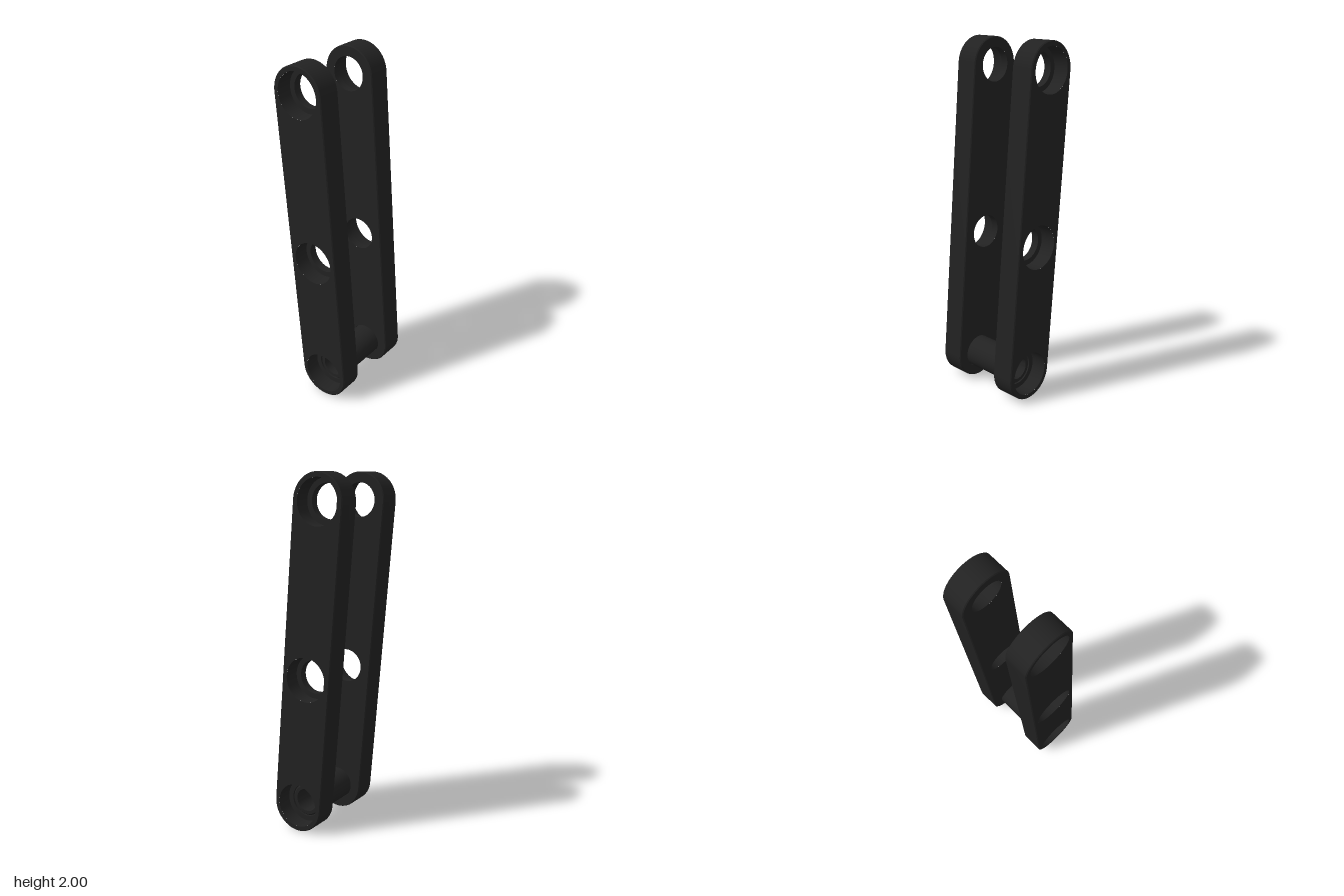
import * as THREE from 'three';
import { toCreasedNormals } from 'three/addons/utils/BufferGeometryUtils.js';

const R = 0.153, LENGTH = 1.7, CHAMFER = 0.005;
const INNER = 0.14, OUTER = 0.278, FLOOR = 0.185; // arm faces and counterbore floor, distance from middle
const HOLES = [0, 0.745, LENGTH];                 // hole centres along the arm
const BORE = 0.095, COUNTERBORE = 0.125;

const material = new THREE.MeshStandardMaterial({ color: 0x222222 });

function part(name, geometry) {
  const mesh = new THREE.Mesh(geometry, material);
  mesh.name = name;
  return mesh;
}

// Round-ended outline, counter-clockwise, along y
function outline(r, n = 32) {
  const pts = [];
  for (const [cy, start] of [[LENGTH, 0], [0, Math.PI]]) {
    for (let i = 0; i <= n; i++) {
      const a = start + (i / n) * Math.PI;
      pts.push(new THREE.Vector2(r * Math.cos(a), cy + r * Math.sin(a)));
    }
  }
  return pts;
}

// Flat side face with its three holes
function face(holeRadius, z, flip) {
  const shape = new THREE.Shape(outline(R - CHAMFER));
  for (const y of HOLES) {
    shape.holes.push(new THREE.Path().absarc(0, y, holeRadius, 0, Math.PI * 2, true));
  }
  const geometry = new THREE.ShapeGeometry(shape, 48);
  if (flip) geometry.rotateY(Math.PI);
  return geometry.translate(0, 0, z);
}

// Rim around the arm, with a small chamfer along both edges
function rim() {
  const rings = [
    [R - CHAMFER, INNER], [R, INNER + CHAMFER],
    [R, OUTER - CHAMFER], [R - CHAMFER, OUTER],
  ].map(([r, z]) => outline(r).map((p) => [p.x, p.y, z]));
  const count = rings[0].length, index = [];
  for (let k = 0; k < rings.length - 1; k++) {
    for (let i = 0; i < count; i++) {
      const j = (i + 1) % count;
      const a = k * count + i, b = k * count + j;
      index.push(a, b, b + count, a, b + count, a + count);
    }
  }
  const geometry = new THREE.BufferGeometry();
  geometry.setAttribute('position', new THREE.Float32BufferAttribute(rings.flat(2), 3));
  geometry.setIndex(index);
  return toCreasedNormals(geometry, 0.5);
}

function lathe(points) {
  const profile = points.map(([r, y]) => new THREE.Vector2(r, y));
  return toCreasedNormals(new THREE.LatheGeometry(profile, 48), 0.5);
}

function createArm(name) {
  const arm = new THREE.Group();
  arm.name = name;
  arm.add(part('armRim', rim()));
  arm.add(part('armOuterFace', face(COUNTERBORE, OUTER, false)));
  arm.add(part('armInnerFace', face(BORE, INNER, true)));
  // Stepped bore: wide outside, narrow inside
  const bore = lathe([
    [COUNTERBORE, OUTER], [COUNTERBORE, FLOOR], [BORE, FLOOR], [BORE, INNER],
  ]).rotateX(Math.PI / 2);
  for (const y of HOLES) {
    const mesh = part('steppedBore', bore);
    mesh.position.y = y;
    arm.add(mesh);
  }
  return arm;
}

export function createModel() {
  const model = new THREE.Group();
  model.name = 'linkPair';

  // Tilted frame whose origin is the lower hole
  const link = new THREE.Group();
  link.name = 'tiltedLink';
  link.position.set(0, R, 0.0725);
  link.rotation.x = -0.0854;
  model.add(link);

  for (const [name, side] of [['leftArm', 1], ['rightArm', -1]]) {
    const arm = createArm(name);
    arm.rotation.y = side * Math.PI / 2;
    link.add(arm);
  }

  // Hollow pin joining the lower holes
  const h = 0.185, r = 0.0925, hollow = 0.066, c = 0.008;
  const pin = part('hollowPin', lathe([
    [hollow, -h], [r - c, -h], [r, -h + c], [r, h - c], [r - c, h], [hollow, h], [hollow, -h],
  ]).rotateZ(Math.PI / 2));
  link.add(pin);

  return model;
}
